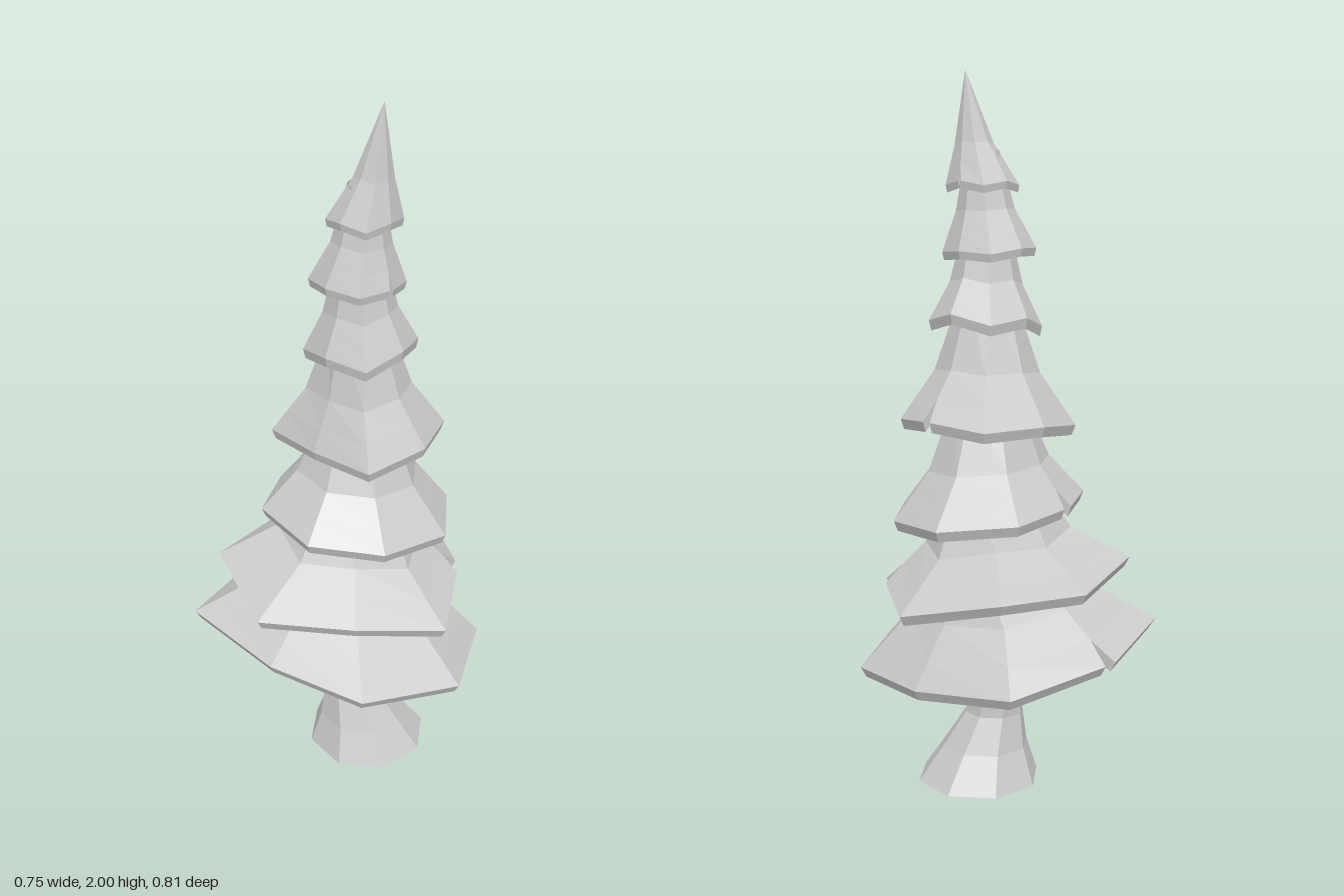
import * as THREE from 'three';

const material = new THREE.MeshStandardMaterial({
  color: 0xcccccc, flatShading: true, side: THREE.DoubleSide,
});

// Skins a list of rings (each an array of Vector3, same length) with quads.
function loft(rings, extra = []) {
  const pos = [];
  const tri = (...pts) => pts.forEach((p) => pos.push(p.x, p.y, p.z));
  for (let k = 0; k < rings.length - 1; k++) {
    const a = rings[k], b = rings[k + 1];
    for (let i = 0; i < a.length - 1; i++) {
      tri(a[i], b[i], b[i + 1]);
      tri(a[i], b[i + 1], a[i + 1]);
    }
  }
  extra.forEach((t) => tri(...t));
  const geo = new THREE.BufferGeometry();
  geo.setAttribute('position', new THREE.Float32BufferAttribute(pos, 3));
  geo.computeVertexNormals();
  return geo;
}

// Point on a horizontal circle; angle 0 is the front, a quarter turn is +x.
const onCircle = (x, y, z, r, angle) =>
  new THREE.Vector3(x + r * Math.sin(angle), y, z + r * Math.cos(angle));

// One skirt of branches: a flared eight-sided shell with a thick rim.
// The rim starts and ends at a slit, tilts along x and z, and zigzags.
function skirt({ x, y, z, radii, turn, gap, tilt, zig, neck, neckRadius, thick, midOut, midUp }) {
  const columns = Array.from({ length: 9 }, (_, i) => i);
  const angle = (i) => THREE.MathUtils.degToRad(turn + i * 45);
  const merged = columns.map((i) => {
    const p = onCircle(x, y, z, radii[i % radii.length], angle(i));
    p.y += tilt[0] * p.x + tilt[1] * p.z + (i % 2 ? zig : -zig);
    return p;
  });
  const side = new THREE.Vector3(Math.cos(angle(0)), 0, -Math.sin(angle(0)));
  const low = merged.map((p, i) =>
    p.clone().addScaledVector(side, i === 0 ? gap / 2 : i === 8 ? -gap / 2 : 0));

  const lift = (p) => p.clone().setY(p.y + thick);
  const under = (p) => new THREE.Vector3(x + (p.x - x) * 0.92, p.y - thick, z + (p.z - z) * 0.92);

  const neckRing = columns.map((i) => onCircle(...neck, neckRadius, angle(i)));
  const midRing = merged.map((p, i) =>
    neckRing[i].clone().lerp(p, midOut).setY(p.y + (neck[1] - p.y) * midUp));
  const slitRing = merged.map((p, i) => midRing[i].clone().lerp(lift(p), 0.55));
  const outerRim = low.map(lift);
  const innerRim = low.map((p) => p.clone().lerp(new THREE.Vector3(x, p.y, z), 0.04));
  const slitUnder = slitRing.map(under);

  // Walls of the slit
  const walls = [0, 8].flatMap((i) => [
    [slitRing[i], outerRim[i], innerRim[i]],
    [slitRing[i], innerRim[i], slitUnder[i]],
  ]);
  return loft([neckRing, midRing, slitRing, outerRim,
    innerRim, slitUnder, midRing.map(under), neckRing.map(under)], walls);
}

const common = { tilt: [0, 0], zig: 0, thick: 0.028, midOut: 0.42, midUp: 0.45 };

// Skirts from the lowest to the tip
const skirts = [
  { x: 0, y: 0.375, z: 0, turn: 183, gap: 0.045, tilt: [-0.13, -0.07], midOut: 0.46,
    radii: [0.4, 0.46, 0.35, 0.39, 0.405, 0.385, 0.34, 0.415],
    neck: [0, 0.74, 0], neckRadius: 0.12 },
  { x: 0, y: 0.58, z: 0, turn: 45, gap: 0.055, tilt: [-0.05, -0.08], zig: -0.017, midUp: 0.4,
    radii: [0.31, 0.375, 0.38, 0.33, 0.38, 0.375, 0.32, 0.365],
    neck: [0.02, 0.93, 0], neckRadius: 0.1 },
  { x: 0.03, y: 0.79, z: 0, turn: 194, gap: 0.04, tilt: [-0.07, -0.07],
    radii: [0.245, 0.28, 0.28, 0.27, 0.28, 0.27, 0.285, 0.287],
    neck: [0.03, 1.12, 0], neckRadius: 0.1 },
  { x: 0.06, y: 1.032, z: 0, turn: 90, gap: 0.025, tilt: [0.06, 0], zig: -0.006,
    radii: [0.21, 0.248, 0.23, 0.26, 0.205, 0.248, 0.22, 0.22],
    neck: [0.025, 1.4, 0.01], neckRadius: 0.075 },
  { x: 0.03, y: 1.307, z: 0.01, turn: 3, gap: 0, tilt: [0.08, 0], zig: -0.012,
    radii: [0.145, 0.155], neck: [0.015, 1.6, 0.02], neckRadius: 0.06 },
  { x: 0.005, y: 1.505, z: 0.02, turn: 0, gap: 0.015, tilt: [-0.06, 0], zig: -0.004, thick: 0.022,
    radii: [0.12, 0.128], neck: [0.01, 1.79, 0.04], neckRadius: 0.045 },
  { x: 0.01, y: 1.682, z: 0.04, turn: 90, gap: 0.012, zig: -0.006, thick: 0.02, midOut: 0.53, midUp: 0.4,
    radii: [0.09, 0.1], neck: [0.035, 2, 0.08], neckRadius: 0 },
];

// Bent trunk with a flared foot: x, y, z, radius from top to bottom
const trunkRings = [
  [0.01, 1.1, 0, 0.03], [-0.02, 0.62, 0, 0.06], [-0.03, 0.37, 0.01, 0.075], [-0.02, 0.2, 0.025, 0.085],
  [-0.003, 0.1, 0.045, 0.125], [0.015, 0, 0.055, 0.178], [0.015, 0, 0.055, 0],
];

export function createModel() {
  const tree = new THREE.Group();
  tree.name = 'pineTree';
  const add = (name, geometry) => {
    const mesh = new THREE.Mesh(geometry, material);
    mesh.name = name;
    tree.add(mesh);
  };

  add('trunk', loft(trunkRings.map((ring) =>
    Array.from({ length: 9 }, (_, i) => onCircle(...ring, (i / 8) * Math.PI * 2 + 0.25)))));
  skirts.forEach((s, i) => add(`branchSkirt${i + 1}`, skirt({ ...common, ...s })));
  return tree;
}
